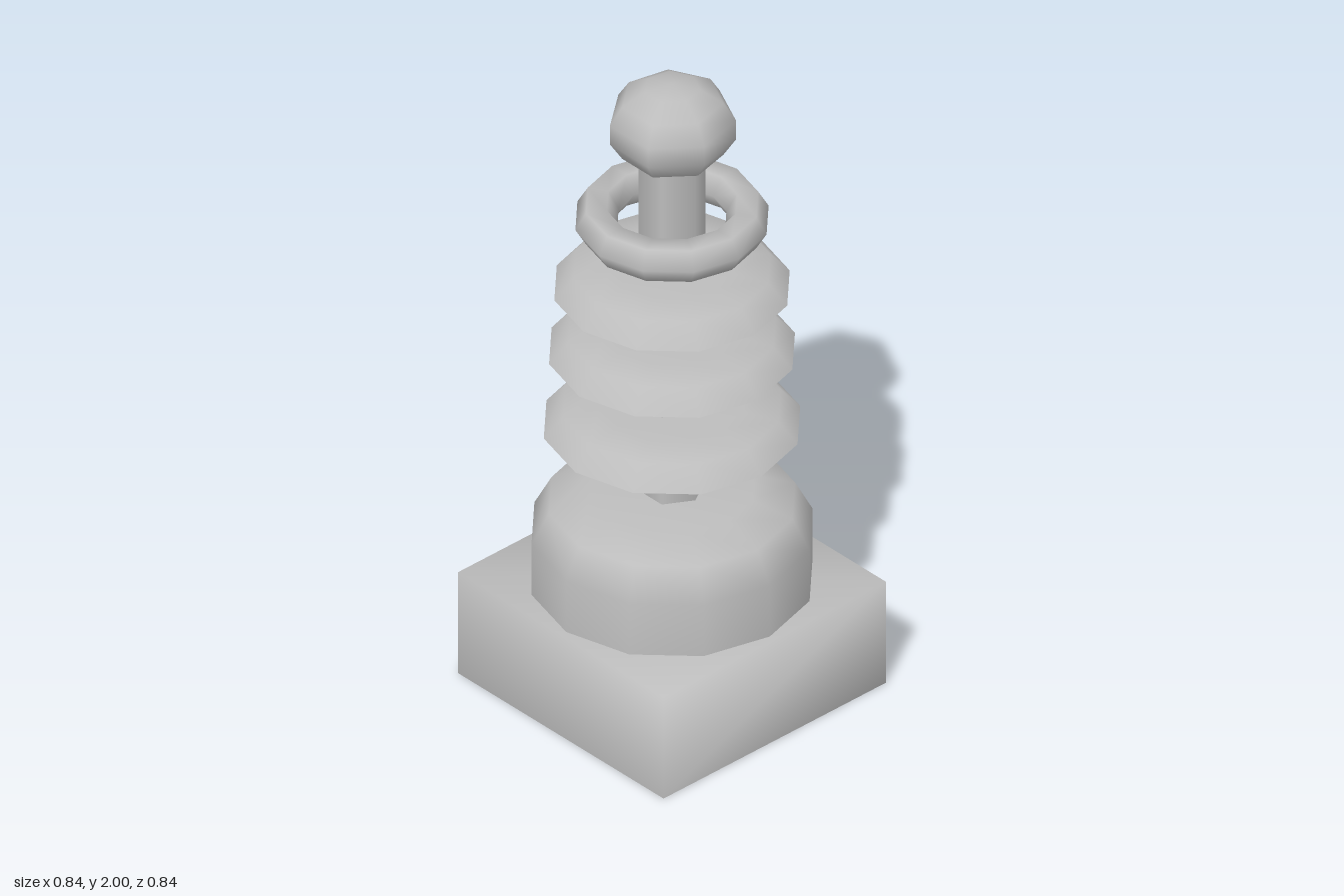
import * as THREE from 'three';
import { mergeVertices } from 'three/addons/utils/BufferGeometryUtils.js';

const grey = new THREE.MeshStandardMaterial({ color: 0xbcbcbc, side: THREE.DoubleSide });
grey.name = 'plain grey';

export function createModel() {
  const model = new THREE.Group();
  model.name = 'insulatorPost';

  const add = (name, geometry, y = 0) => {
    const mesh = new THREE.Mesh(geometry, grey);
    mesh.name = name;
    mesh.position.y = y;
    model.add(mesh);
    return mesh;
  };

  // Twelve-sided smooth shell, profile listed from the bottom rim to the axis
  const shell = (profile) =>
    new THREE.LatheGeometry(profile.map(([r, y]) => new THREE.Vector2(r, y)), 12);

  // Square base, hollow and open below, with normals shared over its corners
  let box = new THREE.BoxGeometry(0.84, 0.34, 0.84);
  const bottom = box.groups[3];
  const index = Array.from(box.index.array);
  index.splice(bottom.start, bottom.count);
  box.setIndex(index);
  box.clearGroups();
  box.deleteAttribute('normal');
  box.deleteAttribute('uv');
  box = mergeVertices(box);
  box.computeVertexNormals();
  add('base', box, 0.17);

  // Rounded drum sunk slightly into the base
  add('drum', shell([[0.4, 0.29], [0.4, 0.51], [0.35, 0.605], [0.235, 0.645], [0, 0.645]]));

  // Hexagonal shaft with a corner on each side
  add('shaft', new THREE.CylinderGeometry(0.095, 0.095, 1.17, 6, 1, true, Math.PI / 6), 1.225);

  // Three hollow skirts, narrowing upwards
  [[0.365, 0.86], [0.35, 1.108], [0.335, 1.32]].forEach(([r, y], i) =>
    add(`skirt${i + 1}`, shell([[r, 0], [r - 0.055, 0.064], [r - 0.16, 0.078], [0, 0.078]]), y));

  // Loose ring around the shaft
  add('ring', new THREE.TorusGeometry(0.215, 0.06, 6, 12).rotateX(Math.PI / 2), 1.547);

  // Flattened seven-sided ball on top
  const ball = new THREE.SphereGeometry(0.185, 7, 7, -Math.PI / 2).scale(1, 0.75, 1);
  add('ball', ball, 1.861);

  return model;
}
